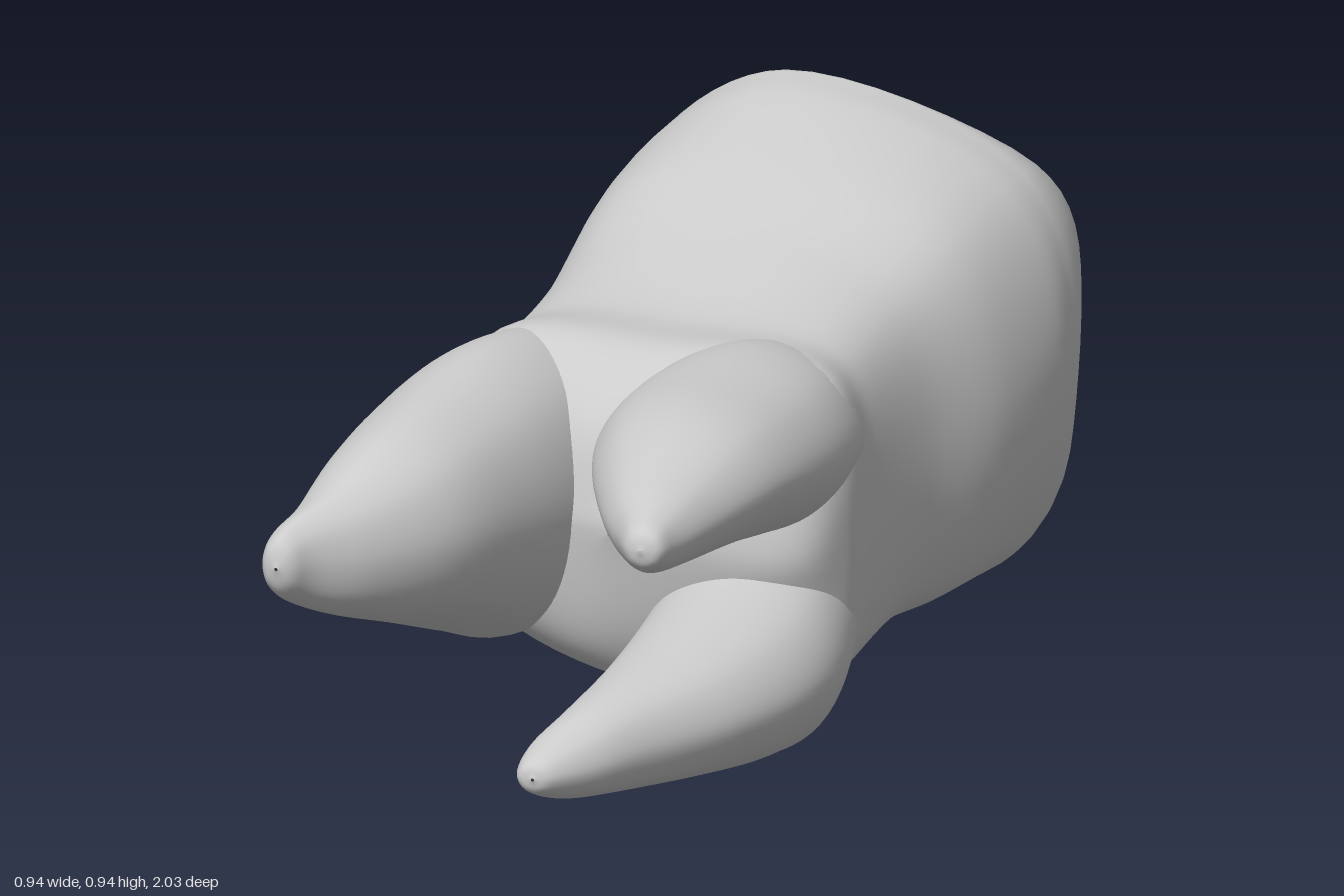
import * as THREE from 'three';

const AROUND = 64;

// Skin a list of rings (each counter-clockwise seen from +z, running from +z to -z).
function skin(name, rings) {
  const pos = [], index = [], n = rings[0].length;
  rings.forEach(r => r.forEach(p => pos.push(p.x, p.y, p.z)));
  for (let i = 0; i < rings.length - 1; i++) {
    for (let j = 0; j < n; j++) {
      const a = i * n + j, b = i * n + (j + 1) % n;
      index.push(a, a + n, b, b, a + n, b + n);
    }
  }
  const g = new THREE.BufferGeometry();
  g.setAttribute('position', new THREE.Float32BufferAttribute(pos, 3));
  g.setIndex(index);
  g.computeVertexNormals();
  const mesh = new THREE.Mesh(g, new THREE.MeshStandardMaterial({ color: 0xcccccc }));
  mesh.name = name;
  return mesh;
}

// Smooth rings through sections of eight outline points: [z, x0, y0, x1, y1, ...].
function smoothRings(sections, steps) {
  const rails = [];
  for (let k = 0; k < 8; k++) {
    rails.push(new THREE.CatmullRomCurve3(
      sections.map(s => new THREE.Vector3(s[1 + 2 * k], s[2 + 2 * k], s[0])), false, 'catmullrom', 0.5));
  }
  const rings = [];
  for (let i = 0; i <= steps; i++) {
    const outline = new THREE.CatmullRomCurve3(rails.map(r => r.getPoint(i / steps)), true, 'centripetal');
    rings.push(Array.from({ length: AROUND }, (_, j) => outline.getPoint(j / AROUND)));
  }
  return rings;
}

// Root from elliptical sections [z, cx, cy, rx, ry], tip first.
function root(name, sections) {
  return skin(name, smoothRings(sections.map(([z, cx, cy, rx, ry]) => {
    const s = [z];
    for (let k = 0; k < 8; k++) {
      const a = k * Math.PI / 4;
      s.push(cx + rx * Math.cos(a), cy + ry * Math.sin(a));
    }
    return s;
  }), 40));
}

// Cusps of the chewing surface: [x, y, height, width]; the last two are the central pit and groove.
const CUSPS = [
  [-0.26, 0.74, 0.15, 0.21],
  [0.34, 0.66, 0.20, 0.19],
  [0.25, 0.19, 0.31, 0.22],
  [-0.29, 0.37, 0.24, 0.22],
  [0.02, 0.47, -0.09, 0.16],
  [0.06, 0.78, -0.04, 0.14],
];
const cuspHeight = (x, y) => CUSPS.reduce(
  (h, [cx, cy, k, w]) => h + k * Math.exp(-((x - cx) ** 2 + (y - cy) ** 2) / (w * w)), 0.74);

// Neck and crown wall, closed by the cusped chewing surface.
function crown() {
  const rings = smoothRings([
    [0.39, 0.01, 0.42, 0.01, 0.43, 0, 0.43, -0.01, 0.43, -0.01, 0.42, -0.01, 0.41, 0, 0.41, 0.01, 0.41],
    [0.33, 0.29, 0.37, 0.2, 0.52, -0.04, 0.6, -0.2, 0.55, -0.35, 0.44, -0.2, 0.25, -0.06, 0.18, 0.15, 0.25],
    [0.2, 0.37, 0.38, 0.32, 0.66, -0.02, 0.7, -0.3, 0.68, -0.44, 0.45, -0.32, 0.2, 0.02, 0.07, 0.3, 0.08],
    [0.02, 0.36, 0.4, 0.3, 0.66, 0, 0.71, -0.3, 0.67, -0.41, 0.45, -0.28, 0.19, 0.05, 0.045, 0.3, 0.09],
    [-0.2, 0.38, 0.42, 0.3, 0.7, -0.04, 0.78, -0.3, 0.7, -0.4, 0.48, -0.28, 0.21, 0.06, 0.06, 0.31, 0.12],
    [-0.4, 0.44, 0.47, 0.34, 0.77, -0.06, 0.86, -0.31, 0.77, -0.41, 0.48, -0.3, 0.2, 0.1, 0.035, 0.35, 0.12],
    [-0.58, 0.47, 0.52, 0.36, 0.8, -0.08, 0.92, -0.33, 0.78, -0.45, 0.47, -0.31, 0.18, 0.13, 0.015, 0.37, 0.12],
    [-0.68, 0.465, 0.53, 0.37, 0.8, -0.09, 0.935, -0.33, 0.78, -0.435, 0.47, -0.3, 0.18, 0.15, 0.01, 0.37, 0.11],
  ], 60);
  const rim = rings[rings.length - 1];
  const cx = 0.02, cy = 0.47, steps = 40;
  for (let i = 1; i <= steps; i++) {
    const s = Math.cos(i / steps * Math.PI / 2);
    const rise = Math.sqrt(1 - s ** 6);
    rings.push(rim.map(p => {
      const x = cx + s * (p.x - cx), y = cy + s * (p.y - cy);
      return new THREE.Vector3(x, y, p.z - (cuspHeight(x, y) + p.z) * rise);
    }));
  }
  return skin('crown', rings);
}

export function createModel() {
  const tooth = new THREE.Group();
  tooth.name = 'molarTooth';
  tooth.add(crown());

  // Three tapering roots
  tooth.add(root('broadRightRoot', [
    [1.0, -0.405, 0.49, 0.003, 0.003],
    [0.985, -0.405, 0.49, 0.03, 0.045],
    [0.94, -0.395, 0.485, 0.052, 0.075],
    [0.85, -0.35, 0.48, 0.095, 0.115],
    [0.7, -0.305, 0.485, 0.15, 0.175],
    [0.5, -0.285, 0.465, 0.182, 0.23],
    [0.3, -0.265, 0.44, 0.195, 0.275],
    [0.1, -0.23, 0.43, 0.185, 0.26],
    [-0.1, -0.18, 0.43, 0.15, 0.2],
  ]));
  tooth.add(root('upperLeftRoot', [
    [0.975, 0.275, 0.595, 0.003, 0.003],
    [0.96, 0.275, 0.595, 0.035, 0.035],
    [0.9, 0.262, 0.592, 0.06, 0.06],
    [0.8, 0.24, 0.597, 0.105, 0.085],
    [0.6, 0.212, 0.605, 0.172, 0.125],
    [0.4, 0.19, 0.585, 0.205, 0.15],
    [0.15, 0.18, 0.55, 0.195, 0.17],
    [-0.1, 0.15, 0.5, 0.15, 0.14],
  ]));
  tooth.add(root('lowerLeftRoot', [
    [0.985, 0.075, 0.15, 0.003, 0.003],
    [0.97, 0.075, 0.15, 0.035, 0.03],
    [0.9, 0.095, 0.152, 0.068, 0.06],
    [0.8, 0.13, 0.16, 0.09, 0.085],
    [0.6, 0.185, 0.167, 0.145, 0.118],
    [0.4, 0.21, 0.175, 0.18, 0.155],
    [0.2, 0.2, 0.195, 0.18, 0.19],
    [-0.1, 0.15, 0.27, 0.14, 0.16],
  ]));
  return tooth;
}
